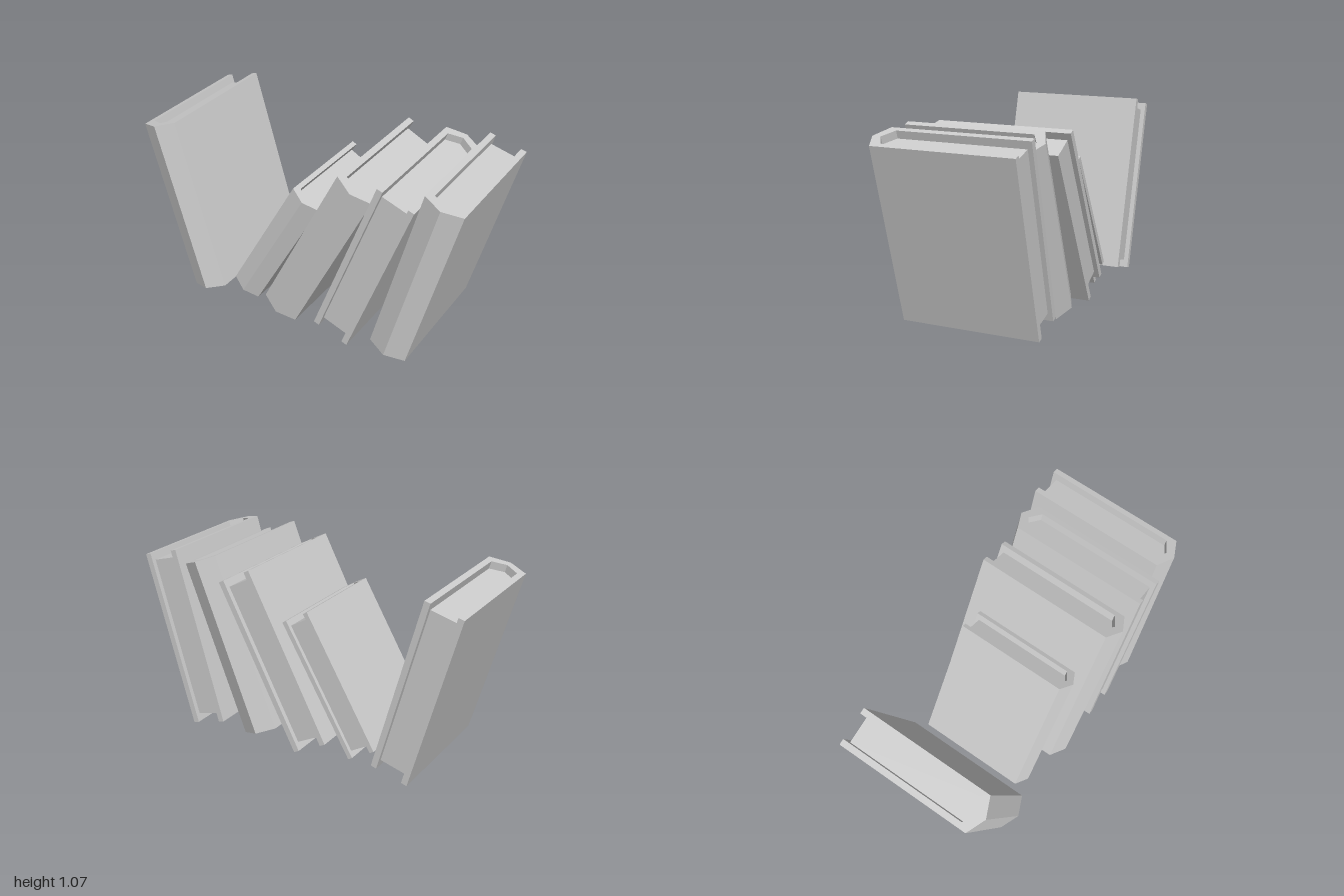
import * as THREE from 'three';

const WIDTH = 0.228, HEIGHT = 1.05, HALF_DEPTH = 0.427;
const BOARD = 0.035;   // cover thickness
const POINT = 0.049;   // how far the spine ridge stands out
const RECESS = 0.045;  // pages sit below the cover edges

const material = new THREE.MeshStandardMaterial({ color: 0xcccccc, flatShading: true });

// Extrude a plan outline of [x, z] points into an upright prism centred on the origin
function prism(points, height) {
  const shape = new THREE.Shape(points.map(([x, z]) => new THREE.Vector2(x, z)));
  const geometry = new THREE.ExtrudeGeometry(shape, { depth: height, bevelEnabled: false });
  return geometry.rotateX(Math.PI / 2).translate(0, height / 2, 0);
}

function createBook(name, { x, y, tilt, scale = 1, spineBack = false }) {
  const w = WIDTH / 2, d = HALF_DEPTH, inner = w - BOARD;
  const shoulder = d - POINT, innerTip = d - 0.05, innerShoulder = d - 0.095;

  // Two boards joined by a ridged spine
  const cover = new THREE.Mesh(prism([
    [-w, -d], [-inner, -d], [-inner, innerShoulder], [0, innerTip],
    [inner, innerShoulder], [inner, -d], [w, -d], [w, shoulder], [0, d], [-w, shoulder],
  ], HEIGHT), material);
  cover.name = 'cover';

  // Page block filling the cover, set back at the open edge
  const back = -d + 0.027;
  const pages = new THREE.Mesh(prism([
    [-inner, back], [inner, back], [inner, innerShoulder],
    [0, innerTip], [-inner, innerShoulder],
  ], HEIGHT - 2 * RECESS), material);
  pages.name = 'pages';

  const volume = new THREE.Group();
  volume.name = 'volume';
  volume.rotation.y = spineBack ? Math.PI : 0;
  volume.add(cover, pages);

  const book = new THREE.Group();
  book.name = name;
  book.add(volume);
  book.position.set(x, y, 0);
  book.rotation.z = THREE.MathUtils.degToRad(tilt);
  book.scale.setScalar(scale);
  return book;
}

export function createModel() {
  const model = new THREE.Group();
  model.name = 'leaningBooks';
  model.add(
    createBook('farRightBook', { x: -0.748, y: 0.537, tilt: 15.7 }),
    createBook('smallBook', { x: -0.175, y: 0.42, tilt: -30, scale: 0.81 }),
    createBook('middleBook', { x: 0.14, y: 0.52, tilt: -27.3 }),
    createBook('reversedBook', { x: 0.455, y: 0.535, tilt: -21.1, spineBack: true }),
    createBook('farLeftBook', { x: 0.748, y: 0.537, tilt: -15.7 }),
  );
  return model;
}
